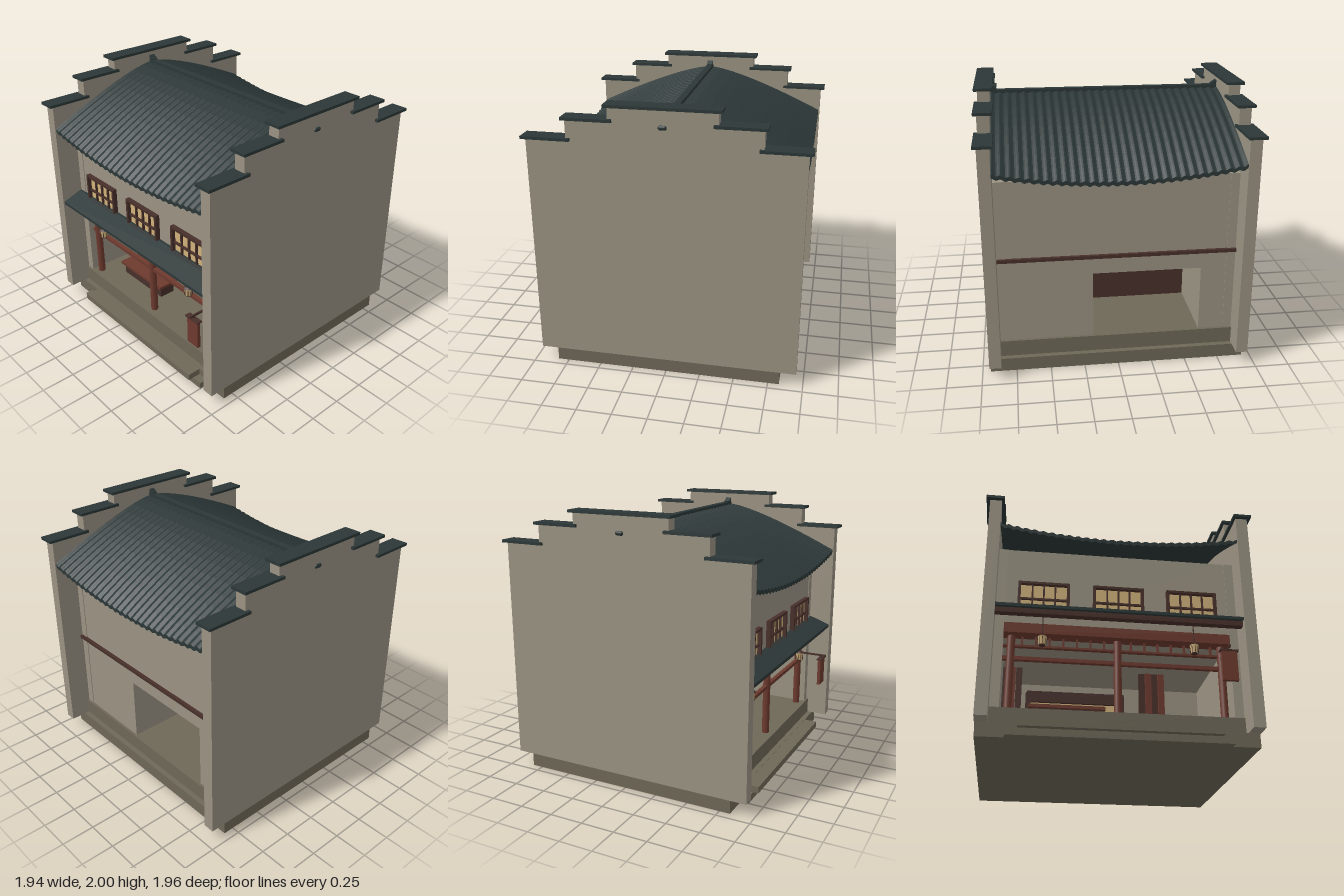
import * as THREE from 'three';
import { RoundedBoxGeometry } from 'three/addons/geometries/RoundedBoxGeometry.js';

const mat = (name, color) => {
  const m = new THREE.MeshStandardMaterial({ color });
  m.name = name;
  return m;
};

export function createModel() {
  const plaster = mat('plaster', 0x9b9383);
  const stone = mat('stone', 0x6f6858);
  const tile = mat('roofTile', 0x2c3737);
  const tileWave = mat('wavyRoofTile', 0x2c3737);
  tileWave.flatShading = true;
  const darkWood = mat('darkWood', 0x48302a);
  const redWood = mat('redWood', 0x6d3a2e);
  const paper = mat('warmPaper', 0xd0b27b);

  const model = new THREE.Group();
  model.name = 'shophouse';
  const group = (name, parent = model) => {
    const g = new THREE.Group();
    g.name = name;
    parent.add(g);
    return g;
  };
  const add = (name, geo, material, parent = model) => {
    const m = new THREE.Mesh(geo, material);
    m.name = name;
    parent.add(m);
    return m;
  };
  // Box given by its limits on each axis
  const box = (name, material, x0, x1, y0, y1, z0, z1, parent = model) => {
    const m = add(name, new THREE.BoxGeometry(x1 - x0, y1 - y0, z1 - z0), material, parent);
    m.position.set((x0 + x1) / 2, (y0 + y1) / 2, (z0 + z1) / 2);
    return m;
  };

  // Stone base, floor and steps
  box('base', stone, -0.94, 0.94, 0, 0.1, -0.83, 0.83);
  box('floor', stone, -0.86, 0.86, 0.1, 0.22, -0.79, 0.79);
  box('lowerStep', stone, -0.75, 0.75, 0, 0.05, 0.82, 0.89);
  box('upperStep', stone, -0.67, 0.67, 0.05, 0.098, 0.82, 0.93);

  // Stepped side walls with tiled caps
  for (const s of [-1, 1]) {
    const wall = group(s > 0 ? 'leftSideWall' : 'rightSideWall');
    const across = (name, m, a, b, ...rest) => box(name, m, Math.min(s * a, s * b), Math.max(s * a, s * b), ...rest, wall);
    across('wallMiddle', plaster, 0.86, 0.945, 0.1, 1.98, -0.37, 0.37);
    across('capMiddle', tile, 0.84, 0.97, 1.98, 2, -0.395, 0.395);
    for (const f of [-1, 1]) {
      const steps = [[0.37, 0.665, 1.88, 0.34, 0.69], [0.665, 0.95, 1.735, 0.635, 0.98]];
      for (const [z0, z1, top, c0, c1] of steps) {
        across('wallStep', plaster, 0.86, 0.945, 0.1, top, Math.min(f * z0, f * z1), Math.max(f * z0, f * z1));
        across('capStep', tile, 0.84, 0.97, top, top + 0.02, Math.min(f * c0, f * c1), Math.max(f * c0, f * c1));
      }
    }
    const end = add('ridgePoleEnd', new RoundedBoxGeometry(0.03, 0.032, 0.06, 3, 0.014), tile, wall);
    end.position.set(s * 0.942, 1.86, 0);
    across('pilaster', plaster, 0.795, 0.86, 0.22, 1.44, -0.775, 0.775);
  }

  // Upper storey and thick rear walls around the back opening
  box('upperStorey', plaster, -0.795, 0.795, 0.8, 1.44, -0.77, 0.77);
  box('rearWallLeft', plaster, 0.18, 0.795, 0.22, 0.8, -0.77, -0.2);
  box('rearWallRight', plaster, -0.795, -0.61, 0.22, 0.8, -0.77, -0.2);
  box('rearLintel', plaster, -0.61, 0.18, 0.72, 0.8, -0.77, -0.2);
  box('rearBeam', darkWood, -0.86, 0.86, 0.845, 0.87, -0.795, -0.76);

  // Curved tile roof: a closed loop of top and underside swept along x
  const nz = 20, loop = 2 * nz + 2;
  const roofGeo = new THREE.PlaneGeometry(1, 1, 168, loop);
  const p = roofGeo.attributes.position;
  for (let i = 0; i < p.count; i++) {
    const u = p.getX(i) * 2;
    const k = Math.round((p.getY(i) + 0.5) * loop) % loop;
    const under = k > nz;
    const t = under ? 1 - ((k - nz - 1) / nz) * 2 : (k / nz) * 2 - 1;
    const a = Math.abs(t);
    const wave = 0.006 * Math.cos(u * Math.PI * 28);
    const y = 1.89 - 0.42 * Math.pow(a, 1.45) + 0.08 * u * u * a * a + wave;
    p.setXYZ(i, u * 0.86, y - (under ? 0.028 : 0), -t * 0.94);
  }
  roofGeo.computeVertexNormals();
  add('mainRoof', roofGeo, tileWave);
  box('ridge', tile, -0.86, 0.86, 1.865, 1.91, -0.025, 0.025);
  for (const s of [-1, 1]) {
    const horn = add('ridgeHorn', new THREE.BoxGeometry(0.05, 0.03, 0.045), tile);
    horn.position.set(s * 0.845, 1.918, 0);
    horn.rotation.z = s * 0.6;
  }

  // Pent roof over the shop front
  const pent = new THREE.Shape([[0.76, 0.97], [0.79, 0.97], [0.94, 0.915], [0.94, 0.893], [0.76, 0.94]]
    .map(([z, y]) => new THREE.Vector2(-z, y)));
  const pentGeo = new THREE.ExtrudeGeometry(pent, { depth: 1.72, bevelEnabled: false });
  pentGeo.translate(0, 0, -0.86).rotateY(Math.PI / 2);
  add('pentRoof', pentGeo, tile);
  box('eaveBeam', darkWood, -0.86, 0.86, 0.86, 0.897, 0.86, 0.91);

  // Upper windows
  for (const x of [-0.53, 0, 0.53]) {
    const w = group('window');
    w.position.set(x, 0, 0);
    box('pane', paper, -0.165, 0.165, 0.96, 1.16, 0.768, 0.776, w);
    for (const s of [-1, 1]) box('sideFrame', darkWood, s * 0.172 - 0.01, s * 0.172 + 0.01, 0.95, 1.17, 0.765, 0.805, w);
    box('topFrame', darkWood, -0.162, 0.162, 1.152, 1.17, 0.765, 0.805, w);
    box('bottomFrame', darkWood, -0.162, 0.162, 0.95, 0.966, 0.765, 0.805, w);
    for (const m of [-0.08, 0, 0.08]) box('mullion', darkWood, m - 0.006, m + 0.006, 0.966, 1.152, 0.77, 0.792, w);
    box('transomBar', darkWood, -0.162, 0.162, 1.033, 1.047, 0.77, 0.792, w);
  }

  // Shop-front posts, beams and lattice
  const frontFrame = group('shopFrontFrame');
  for (const x of [-0.74, 0, 0.74]) {
    const post = add('post', new THREE.CylinderGeometry(0.028, 0.028, 0.56, 12), redWood, frontFrame);
    post.position.set(x, 0.5, 0.72);
  }
  box('headBeam', redWood, -0.795, 0.795, 0.77, 0.845, 0.69, 0.79, frontFrame);
  box('latticeRail', redWood, -0.795, 0.795, 0.69, 0.705, 0.705, 0.735, frontFrame);
  box('middleRail', redWood, -0.795, 0.795, 0.59, 0.617, 0.705, 0.735, frontFrame);
  for (let i = 0; i < 17; i++) {
    const x = -0.76 + i * 0.095;
    box('latticeBar', redWood, x - 0.007, x + 0.007, 0.7, 0.775, 0.71, 0.73, frontFrame);
  }

  // Folded shutters inside
  const shutters = (name, x0, count) => {
    const g = group(name);
    for (let i = 0; i < count; i++) {
      const x = x0 + i * 0.048;
      box('shutterPanel', i % 2 ? redWood : darkWood, x, x + 0.045, 0.22, 0.72, 0.28, 0.31 + 0.01 * (i % 2), g);
    }
  };
  shutters('rightShutters', -0.79, 3);
  shutters('leftShutters', 0.22, 4);

  // Inner screen closing the back opening
  const screen = group('innerScreen');
  box('screenBack', darkWood, -0.61, 0.18, 0.22, 0.72, -0.2, -0.16, screen);
  box('screenPaper', paper, -0.57, 0.15, 0.225, 0.63, -0.16, -0.153, screen);
  box('screenLintel', darkWood, -0.6, 0.17, 0.63, 0.72, -0.16, -0.13, screen);
  box('screenJamb', darkWood, -0.6, -0.57, 0.22, 0.63, -0.16, -0.13, screen);
  box('screenJamb', darkWood, 0.15, 0.17, 0.22, 0.63, -0.16, -0.13, screen);
  box('shelf', darkWood, -0.57, -0.29, 0.51, 0.521, -0.155, -0.06, screen);

  // Counter
  box('counterBody', darkWood, -0.57, -0.085, 0.22, 0.302, 0.46, 0.59);
  box('counterTop', redWood, -0.6, -0.07, 0.302, 0.325, 0.44, 0.61);

  // Hanging lanterns
  for (const x of [-0.53, 0.53]) {
    const l = group('lantern');
    l.position.set(x, 0.71, 0.8);
    add('lanternBody', new THREE.CylinderGeometry(0.033, 0.024, 0.06, 8), paper, l);
    add('lanternCap', new THREE.CylinderGeometry(0.022, 0.038, 0.014, 8), darkWood, l).position.y = 0.036;
    add('lanternFoot', new THREE.CylinderGeometry(0.024, 0.02, 0.008, 8), darkWood, l).position.y = -0.033;
    add('lanternCord', new THREE.CylinderGeometry(0.004, 0.004, 0.15, 6), darkWood, l).position.y = 0.11;
    for (let i = 0; i < 8; i++) {
      const a = (i / 8) * Math.PI * 2;
      const rib = add('lanternRib', new THREE.BoxGeometry(0.004, 0.06, 0.004), darkWood, l);
      rib.position.set(Math.sin(a) * 0.029, 0, Math.cos(a) * 0.029);
    }
  }

  // Hanging sign board with its bracket
  const sign = group('signBoard');
  box('board', redWood, 0.682, 0.79, 0.43, 0.645, 0.915, 0.94, sign);
  box('boardCap', darkWood, 0.67, 0.8, 0.645, 0.655, 0.905, 0.948, sign);
  box('bracket', darkWood, 0.73, 0.742, 0.668, 0.682, 0.72, 0.965, sign);
  box('hanger', darkWood, 0.731, 0.741, 0.65, 0.67, 0.922, 0.932, sign);

  return model;
}
